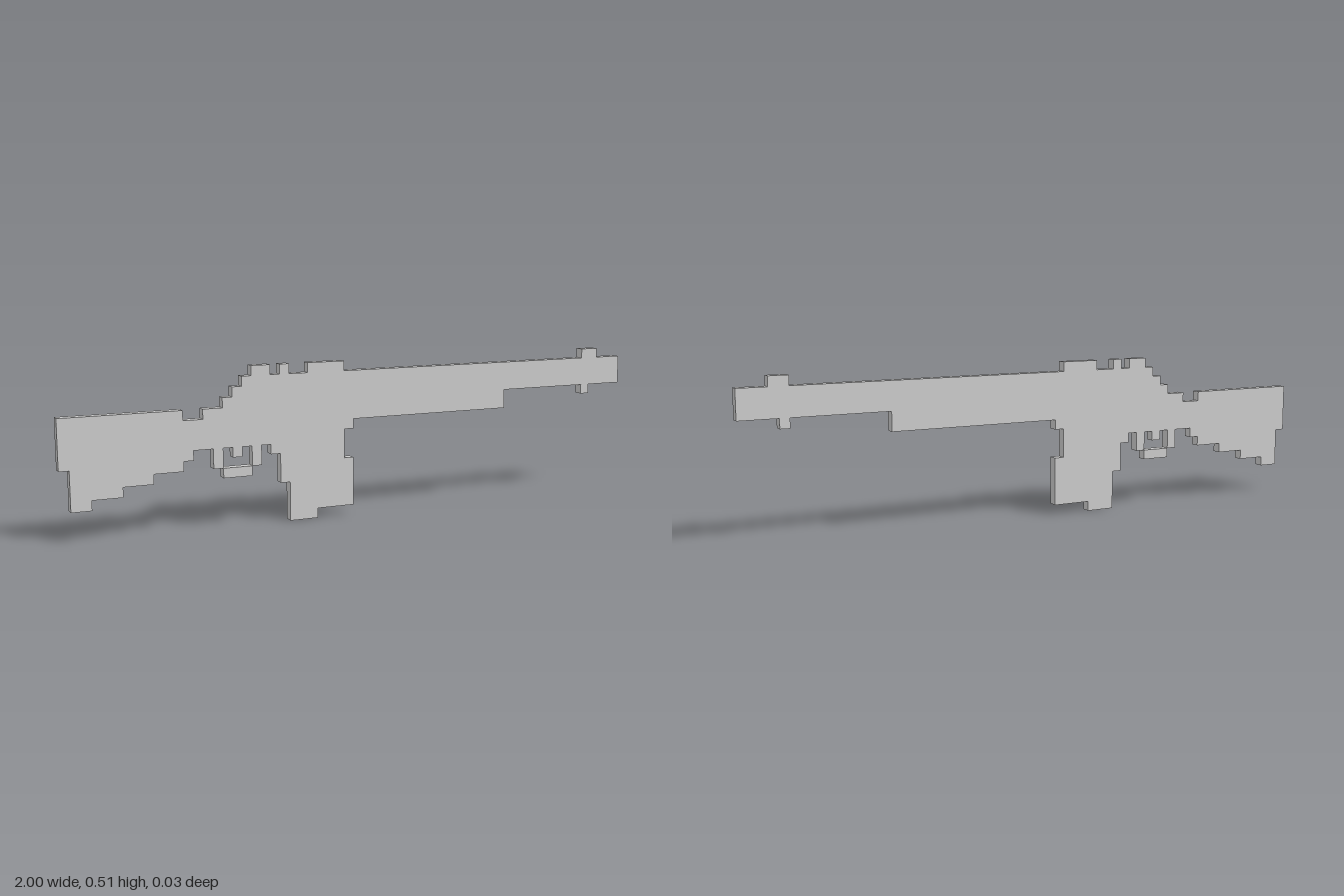
import * as THREE from 'three';

const CELL = 2 / 63; // the silhouette sits on a 63 x 16 grid, one cell thick
const material = new THREE.MeshStandardMaterial({ color: 0xcccccc, flatShading: true });

// Slab from a stepped outline: start corner, then alternating x and y targets.
function steppedSlab(name, start, targets) {
  let [x, y] = start;
  const points = [new THREE.Vector2(x, y)];
  targets.forEach((value, i) => {
    if (i % 2 === 0) x = value;
    else y = value;
    points.push(new THREE.Vector2(x, y));
  });
  const geometry = new THREE.ExtrudeGeometry(new THREE.Shape(points), { depth: 1, bevelEnabled: false });
  geometry.translate(-31.5, 0, -0.5);
  geometry.scale(CELL, CELL, CELL);
  const mesh = new THREE.Mesh(geometry, material);
  mesh.name = name;
  return mesh;
}

export function createModel() {
  const model = new THREE.Group();
  model.name = 'pixelRifle';
  model.add(
    // shoulder stock with a stepped underside
    steppedSlab('stock', [0, 12], [12, 11, 14, 8, 13, 7, 12, 6, 9, 5, 6, 4, 3, 3, 1, 7, 0]),
    // receiver with rear sight on top, trigger and guard posts below
    steppedSlab('receiver', [14, 12], [
      16, 13, 17, 14, 18, 15, 19, 16, 21, 15, 22, 16, 23, 15, 25, 16, 29,
      8, 20, 6, 19, 8, 18, 7, 17, 8, 16, 6, 15, 8, 14,
    ]),
    // lower bar of the trigger guard, meeting the posts at their corners
    steppedSlab('triggerGuard', [16, 6], [19, 5, 16]),
    // magazine below the receiver
    steppedSlab('magazine', [21, 8], [29, 6, 30, 1, 26, 0, 23, 4, 22, 7, 21]),
    // barrel with handguard and front sight
    steppedSlab('barrel', [29, 15], [58, 16, 60, 15, 63, 12, 59, 11, 58, 12, 48, 10, 30, 9, 29]),
  );
  return model;
}
